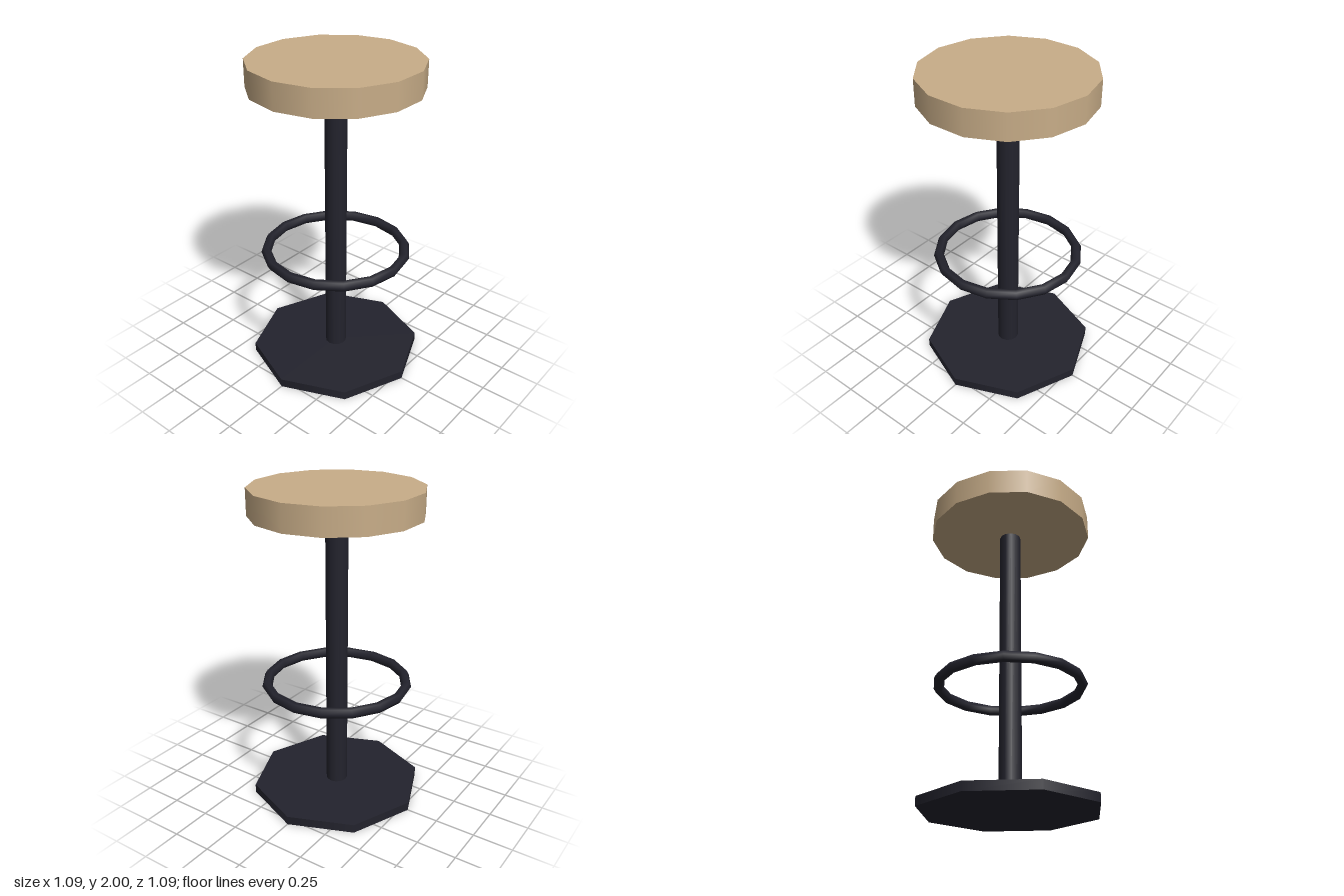
import * as THREE from 'three';

export function createModel() {
  const stool = new THREE.Group();
  stool.name = 'barStool';

  const wood = new THREE.MeshStandardMaterial({ color: 0xc8ad88 });
  wood.name = 'lightWood';
  const metal = new THREE.MeshStandardMaterial({ color: 0x23232d });
  metal.name = 'darkMetal';

  const add = (name, geometry, material, y) => {
    const mesh = new THREE.Mesh(geometry, material);
    mesh.name = name;
    mesh.position.y = y;
    stool.add(mesh);
    return mesh;
  };
  // Upright disc or post between two heights
  const addCylinder = (name, radius, bottom, top, sides, material) =>
    add(name, new THREE.CylinderGeometry(radius, radius, top - bottom, sides), material, (bottom + top) / 2);

  addCylinder('base', 0.546, 0, 0.055, 8, metal);
  addCylinder('post', 0.068, 0.05, 1.845, 12, metal);
  addCylinder('seat', 0.52, 1.837, 2, 14, wood);

  // Floating ring for the feet
  const ring = new THREE.TorusGeometry(0.44, 0.032, 6, 16);
  ring.rotateX(Math.PI / 2);
  add('footRing', ring, metal, 0.772);

  return stool;
}
